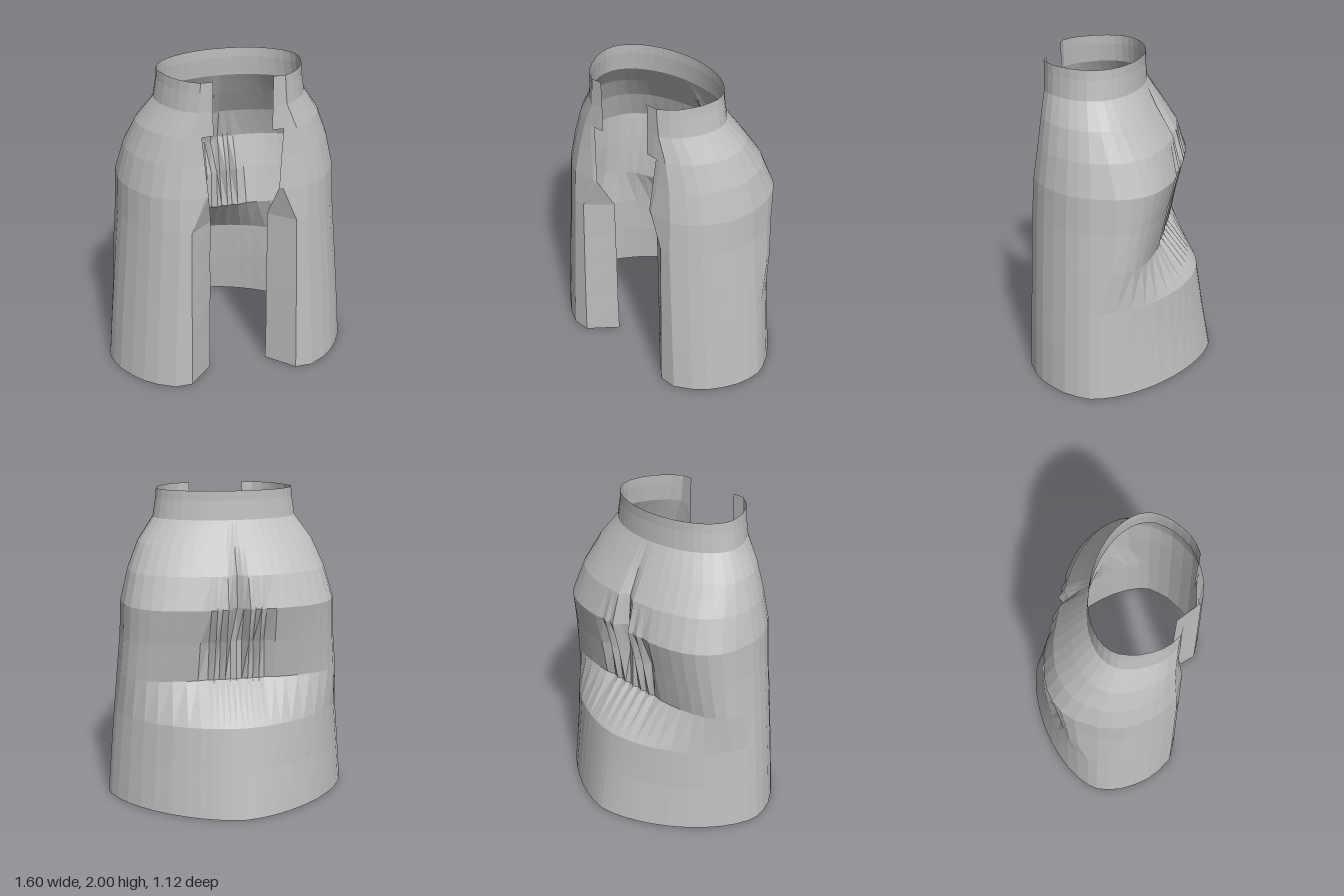
import * as THREE from 'three';

// One entry per horizontal seam.
// w: half width, f/b: front and back z, m: z of the widest point, n: squareness of the back,
// edge/turn: [x, z] of the opening's edge and of the fold beside it,
// cleft: depth of the centre back crease, pleat: depth of the gathers
const level = (y, w, f, b, m, n, edge, turn, cleft = 0, pleat = 0) =>
  ({ y, w, f, b, m, n, edge, turn, cleft, pleat });

const skirtLevels = [
  level(0, 0.80, 0.56, -0.56, 0.10, 1.6, [0.19, 0.40], [0.35, 0.56]),
  level(0.30, 0.775, 0.553, -0.505, 0.10, 1.65, [0.19, 0.40], [0.345, 0.553]),
  level(0.57, 0.75, 0.545, -0.46, 0.10, 1.75, [0.185, 0.40], [0.34, 0.545]),
  level(0.83, 0.725, 0.537, -0.25, 0.10, 3.2, [0.185, 0.40], [0.335, 0.537], 0, 0.015),
  level(1.08, 0.70, 0.53, -0.30, 0.10, 3.1, [0.18, 0.40], [0.33, 0.53], 0.05, 0.045),
  level(1.30, 0.69, 0.515, -0.355, 0.10, 2.9, [0.22, 0.505], [0.24, 0.515], 0.08, 0.012),
  level(1.50, 0.64, 0.49, -0.30, 0.11, 2.5, [0.235, 0.485], [0.27, 0.49], 0.04),
  level(1.67, 0.57, 0.475, -0.20, 0.13, 2.2, [0.25, 0.47], [0.28, 0.475], 0.015),
];
const yokeLevels = [
  level(1.67, 0.57, 0.475, -0.20, 0.13, 2.2, [0.18, 0.47], [0.23, 0.475], 0.015),
  level(1.82, 0.465, 0.465, -0.115, 0.16, 2, [0.18, 0.465], [0.22, 0.465]),
];
const waistLevels = [
  yokeLevels[1],
  level(1.94, 0.445, 0.465, -0.105, 0.16, 2, [0.18, 0.465], [0.22, 0.465]),
  level(2, 0.44, 0.465, -0.105, 0.16, 2, [0.18, 0.465], [0.22, 0.465]),
];

// Rounded front corner, as fractions of the half width and of the depth
const frontCurve = [[0.575, 1], [0.71, 0.87], [0.8, 0.74], [0.88, 0.565], [0.95, 0.36], [0.985, 0.17], [1, 0]];
// Back columns, closer together at the gathers
const backColumns = [0.985, 0.94, 0.87, 0.78, 0.68, 0.56, 0.44, 0.34, 0.25, 0.2, 0.15, 0.1, 0.05, 0];

// Full open ring from the left front edge, round the back, to the right front edge
function ring(l) {
  const half = [l.edge, l.turn];
  for (const [u, v] of frontCurve) half.push([u * l.w, l.m + v * (l.f - l.m)]);
  backColumns.forEach((u, i) => {
    const v = Math.pow(1 - Math.pow(u, l.n), 1 / l.n);
    let z = l.m + v * (l.b - l.m);
    if (u < 0.3 && i % 2 === 0) z += l.pleat;
    if (u < 0.06) z += l.cleft * (u === 0 ? 1 : 0.4);
    half.push([u * l.w, z]);
  });
  const mirrored = half.slice(0, -1).reverse().map(([x, z]) => [-x, z]);
  return [...half, ...mirrored].map(([x, z]) => [x, l.y, z]);
}

// Sheet of cloth joining successive rings
function sheet(name, levels, material) {
  const rings = levels.map(ring);
  const count = rings[0].length;
  const index = [];
  for (let r = 0; r < rings.length - 1; r++) {
    for (let i = 0; i < count - 1; i++) {
      const a = r * count + i, b = a + 1, c = a + count, d = c + 1;
      index.push(a, b, d, a, d, c);
    }
  }
  const geometry = new THREE.BufferGeometry();
  geometry.setAttribute('position', new THREE.Float32BufferAttribute(rings.flat(2), 3));
  geometry.setIndex(index);
  geometry.computeVertexNormals();
  const mesh = new THREE.Mesh(geometry, material);
  mesh.name = name;
  return mesh;
}

export function createModel() {
  const cloth = new THREE.MeshStandardMaterial({ color: 0xbfbfbf, flatShading: true, side: THREE.DoubleSide });
  cloth.name = 'grey cloth';
  const group = new THREE.Group();
  group.name = 'openSkirt';
  group.add(
    sheet('skirt', skirtLevels, cloth),
    sheet('hipYoke', yokeLevels, cloth),
    sheet('waistband', waistLevels, cloth),
  );
  return group;
}
